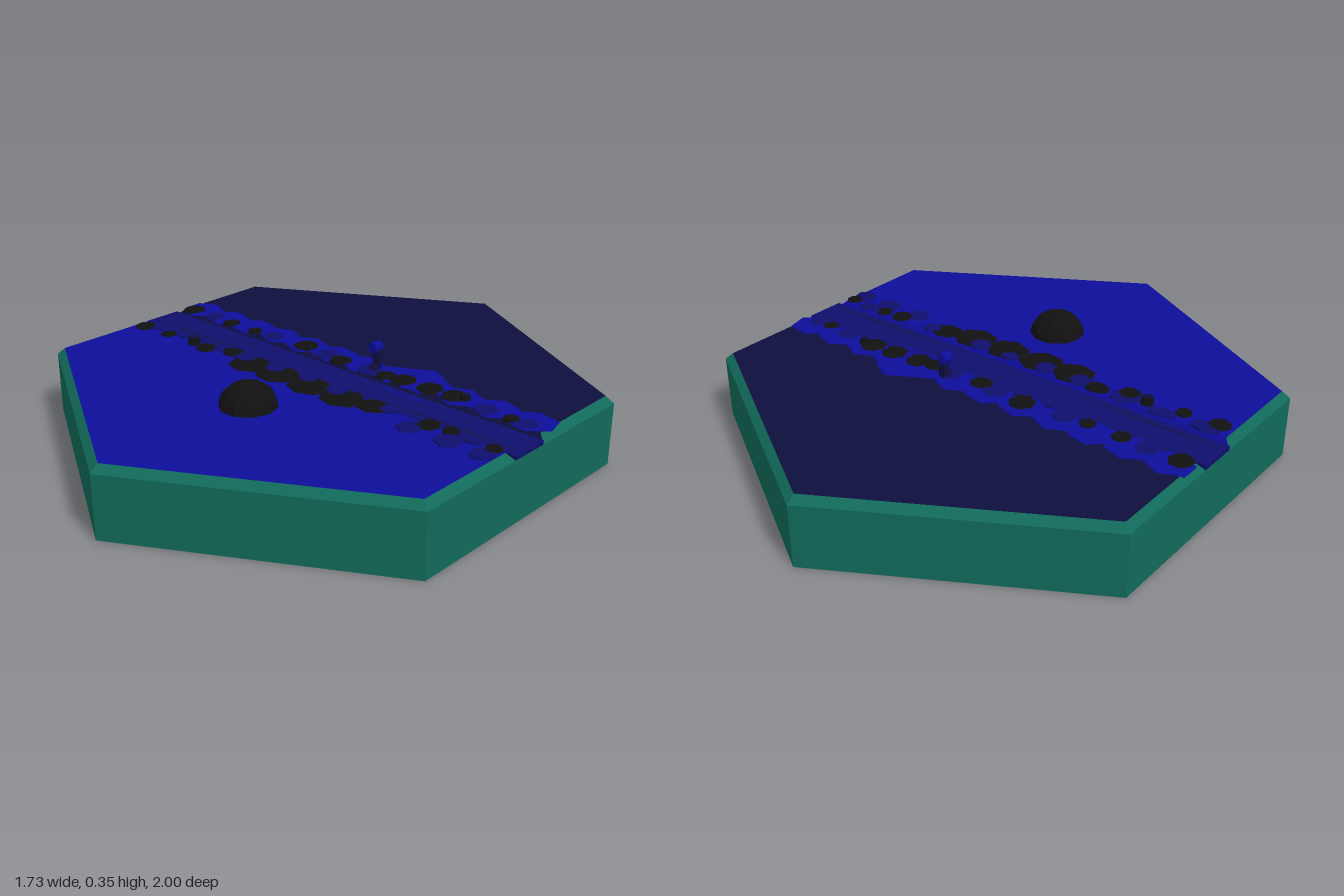
import * as THREE from 'three';

export function createModel() {
  const model = new THREE.Group();
  const mat = (name, color) => {
    const m = new THREE.MeshStandardMaterial({ color, flatShading: true });
    m.name = name;
    return m;
  };
  const teal = mat('teal rim', 0x116a5a);
  const blue = mat('bright blue ground', 0x0d0d9a);
  const navy = mat('navy ground', 0x0e0e3e);
  const river = mat('river blue', 0x0e0e6c);
  const black = mat('black stone', 0x111111);

  const add = (name, geometry, material, x, y, z, parent = model) => {
    const mesh = new THREE.Mesh(geometry, material);
    mesh.name = name;
    mesh.position.set(x, y, z);
    parent.add(mesh);
    return mesh;
  };
  const faces = (quads) => {
    const pos = [];
    quads.forEach(([a, b, c, d]) => pos.push(...a, ...b, ...c, ...(d ? [...a, ...c, ...d] : [])));
    const g = new THREE.BufferGeometry();
    g.setAttribute('position', new THREE.Float32BufferAttribute(pos, 3));
    g.computeVertexNormals();
    return g;
  };

  // Hexagonal base
  add('base', new THREE.CylinderGeometry(1, 1, 0.225, 6), teal, 0, 0.1125, 0);

  // Two land halves with a sloped rim, leaving a channel between them
  const outline = [[-0.866, 0.075], [-0.866, 0.5], [0, 1], [0.866, 0.5], [0.866, 0.075]];
  const outer = outline.map(([x, z]) => [x, 0.225, z]);
  const inner = outline.map(([x, z]) => [x * 0.97, 0.25, z < 0.1 ? 0.095 : z * 0.97]);
  const ring = outer.map((p, i) => {
    const j = (i + 1) % outer.length;
    return [p, outer[j], inner[j], inner[i]];
  });
  const land = [ring[4], ...[1, 2, 3].map((i) => [inner[0], inner[i], inner[i + 1]])];
  [['front', blue, 0], ['back', navy, Math.PI]].forEach(([side, ground, turn]) => {
    const half = new THREE.Group();
    half.name = side + 'Land';
    half.rotation.y = turn;
    add(side + 'Rim', faces(ring.slice(0, 4)), teal, 0, 0, 0, half);
    add(side + 'Ground', faces(land), ground, 0, 0, 0, half);
    model.add(half);
  });

  // River and its ripples
  add('river', new THREE.BoxGeometry(1.732, 0.022, 0.15), river, 0, 0.229, 0);
  const ripple = (x, z, length, material) => {
    const s = new THREE.Shape();
    s.moveTo(-length / 2, 0);
    s.quadraticCurveTo(0, -0.008, length / 2, 0.002);
    s.quadraticCurveTo(0, 0.012, -length / 2, 0);
    add('ripple', new THREE.ShapeGeometry(s, 6).rotateX(-Math.PI / 2), material, x, 0.2415, z);
  };
  ripple(-0.58, 0.042, 0.54, navy);
  ripple(0.58, 0.042, 0.56, navy);
  ripple(0.32, -0.045, 0.3, blue);

  // Flat bank patches: [x, z, radius]
  let layer = 0;
  const patches = (name, material, list, sides = 6) => list.forEach(([x, z, r], i) => {
    const p = add(name, new THREE.CylinderGeometry(r * 0.92, r, 0.006, sides), material,
      x, 0.25 + 0.0002 * layer++, z);
    p.rotation.y = (i % 3) * 0.12;
    p.scale.z = Math.min(1, (Math.abs(z) - 0.07) / r);
  });
  const row = [];
  for (let i = 0; i < 12; i++) row.push([-0.775 + i * 0.141, -0.145, 0.09]);
  patches('backBankPatch', blue, row);
  patches('backBankPatch', blue, [[0.3, -0.17, 0.1]]);
  patches('backShade', river, [
    [-0.68, -0.115, 0.045], [-0.36, -0.115, 0.05], [-0.08, -0.12, 0.05],
    [0.12, -0.12, 0.05], [0.62, -0.115, 0.05], [0.78, -0.115, 0.04]]);
  patches('backStone', black, [
    [-0.8, -0.115, 0.045], [-0.58, -0.11, 0.035], [-0.45, -0.11, 0.03], [-0.2, -0.13, 0.05],
    [-0.01, -0.11, 0.045], [0.2, -0.11, 0.04], [0.27, -0.12, 0.05],
    [0.38, -0.125, 0.05], [0.48, -0.13, 0.05], [0.72, -0.11, 0.03]], 7);
  patches('frontShade', river, [
    [-0.76, 0.11, 0.06], [-0.6, 0.1, 0.06], [-0.45, 0.115, 0.06],
    [0.52, 0.16, 0.045], [0.67, 0.155, 0.05], [0.8, 0.16, 0.045], [0.72, 0.1, 0.05]]);
  patches('frontStone', black, [
    [-0.79, 0.145, 0.04], [-0.66, 0.14, 0.03], [-0.45, 0.14, 0.04], [-0.34, 0.105, 0.05],
    [-0.22, 0.14, 0.08], [-0.08, 0.14, 0.085], [0.07, 0.14, 0.085], [0.22, 0.14, 0.085],
    [0.34, 0.12, 0.06], [0.56, 0.11, 0.04], [0.64, 0.1, 0.03], [0.81, 0.11, 0.03]], 7);
  patches('stoneFacet', river, [
    [-0.27, 0.11, 0.045], [-0.12, 0.11, 0.04], [0.03, 0.1, 0.04], [0.17, 0.11, 0.045], [0.4, 0.105, 0.04]]);

  // Faceted boulder
  add('boulder', new THREE.SphereGeometry(0.1, 10, 5, 0, Math.PI * 2, 0, Math.PI / 2),
    black, 0.025, 0.25, 0.38).scale.y = 0.85;

  // Small stumps on the banks
  [[-0.525, 0.13, 0.025, 0.026], [0.52, -0.135, 0.02, 0.022]].forEach(([x, z, r, h]) => {
    add('stump', new THREE.CylinderGeometry(r * 0.8, r, h, 8), black, x, 0.25 + h / 2, z);
    add('stumpTop', new THREE.CylinderGeometry(r * 0.6, r * 0.6, 0.002, 8), navy, x, 0.251 + h, z);
  });

  // Signpost with a round head and a stone at its foot
  add('post', new THREE.BoxGeometry(0.024, 0.075, 0.024), navy, 0.125, 0.285, -0.15);
  add('postHead', new THREE.CylinderGeometry(0.02, 0.02, 0.04, 8).rotateX(Math.PI / 2),
    blue, 0.118, 0.328, -0.15);
  add('footStone', new THREE.DodecahedronGeometry(0.02), navy, 0.128, 0.256, -0.13);

  return model;
}
